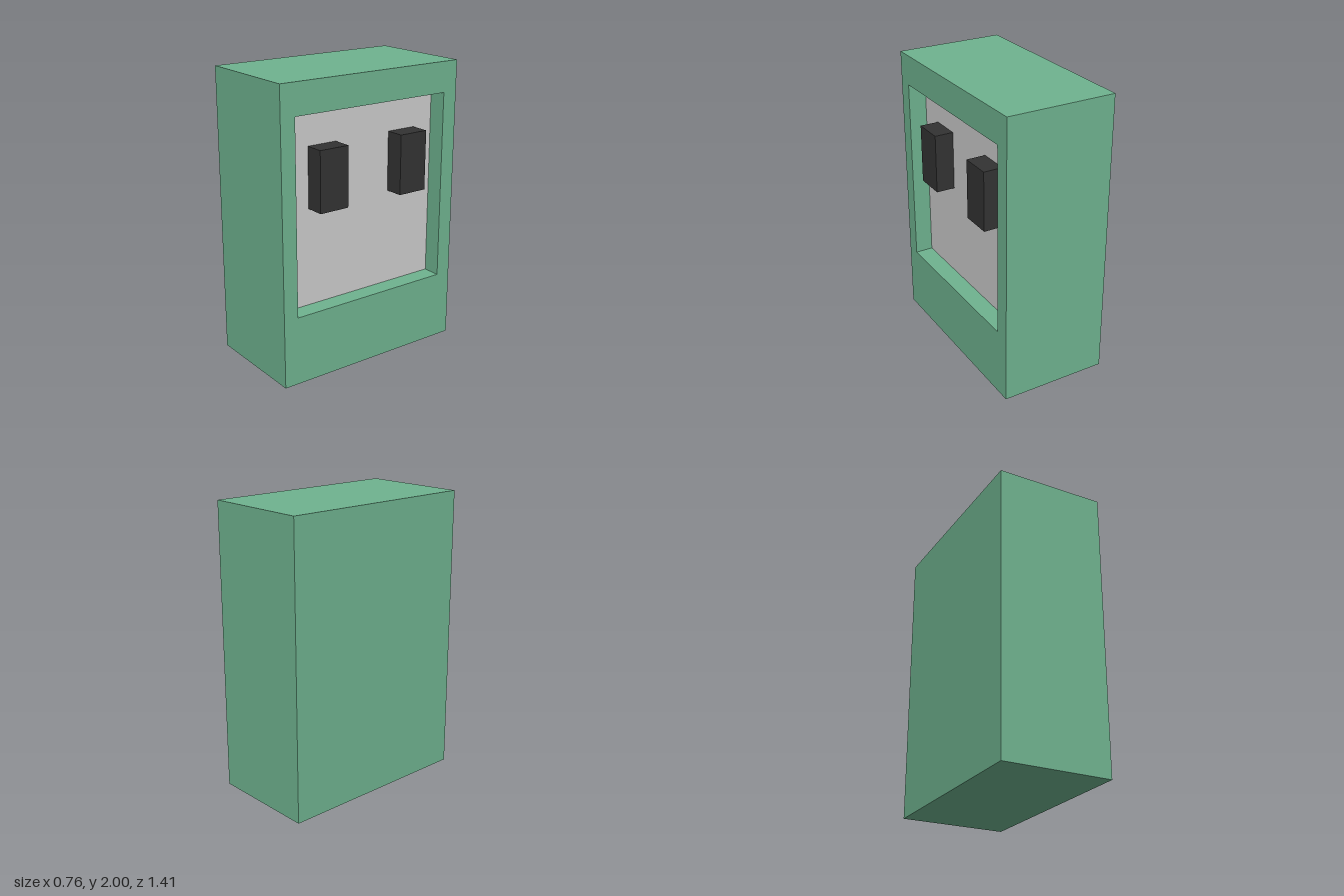
import * as THREE from 'three';

const PANEL_X = 0.25;

// Corners of a rectangle at depth x, counter-clockwise seen from +x
function ring(x, y0, y1, z0, z1) {
  return [[x, y0, z1], [x, y0, z0], [x, y1, z0], [x, y1, z1]];
}

// Closed casing lofted through rings: back, front rim, opening, recess floor
function casingGeometry() {
  const outer = [0, 2, -0.705, 0.705];
  const opening = [0.475, 1.79, -0.597, 0.6];
  const rings = [
    ring(-0.382, ...outer),
    ring(0.376, ...outer),
    ring(0.376, ...opening),
    ring(PANEL_X, ...opening),
  ];
  const positions = [];
  const quad = (a, b, c, d) => positions.push(...a, ...b, ...c, ...a, ...c, ...d);
  for (let r = 0; r < rings.length - 1; r++) {
    for (let i = 0; i < 4; i++) {
      const j = (i + 1) % 4;
      quad(rings[r][i], rings[r][j], rings[r + 1][j], rings[r + 1][i]);
    }
  }
  const [a, b, c, d] = rings[0];
  quad(d, c, b, a);
  const geometry = new THREE.BufferGeometry();
  geometry.setAttribute('position', new THREE.Float32BufferAttribute(positions, 3));
  geometry.computeVertexNormals();
  return geometry;
}

export function createModel() {
  const model = new THREE.Group();
  const green = new THREE.MeshStandardMaterial({ color: 0x6fb38f });
  const grey = new THREE.MeshStandardMaterial({ color: 0xcccccc });
  const dark = new THREE.MeshStandardMaterial({ color: 0x333333 });

  const add = (name, geometry, material, x, y, z) => {
    const mesh = new THREE.Mesh(geometry, material);
    mesh.name = name;
    mesh.position.set(x, y, z);
    model.add(mesh);
  };

  // Casing with the recess in its +x side
  add('casing', casingGeometry(), green, 0, 0, 0);

  // Grey panel closing the floor of the recess
  const panel = new THREE.PlaneGeometry(1.197, 1.315).rotateY(Math.PI / 2);
  add('panel', panel, grey, PANEL_X, 1.1325, 0.0015);

  // Two dark blocks standing out from the panel
  const depth = 0.382 - PANEL_X;
  for (const [name, z] of [['frontBlock', 0.314], ['backBlock', -0.335]]) {
    add(name, new THREE.BoxGeometry(depth, 0.412, 0.217), dark, PANEL_X + depth / 2, 1.349, z);
  }
  return model;
}
